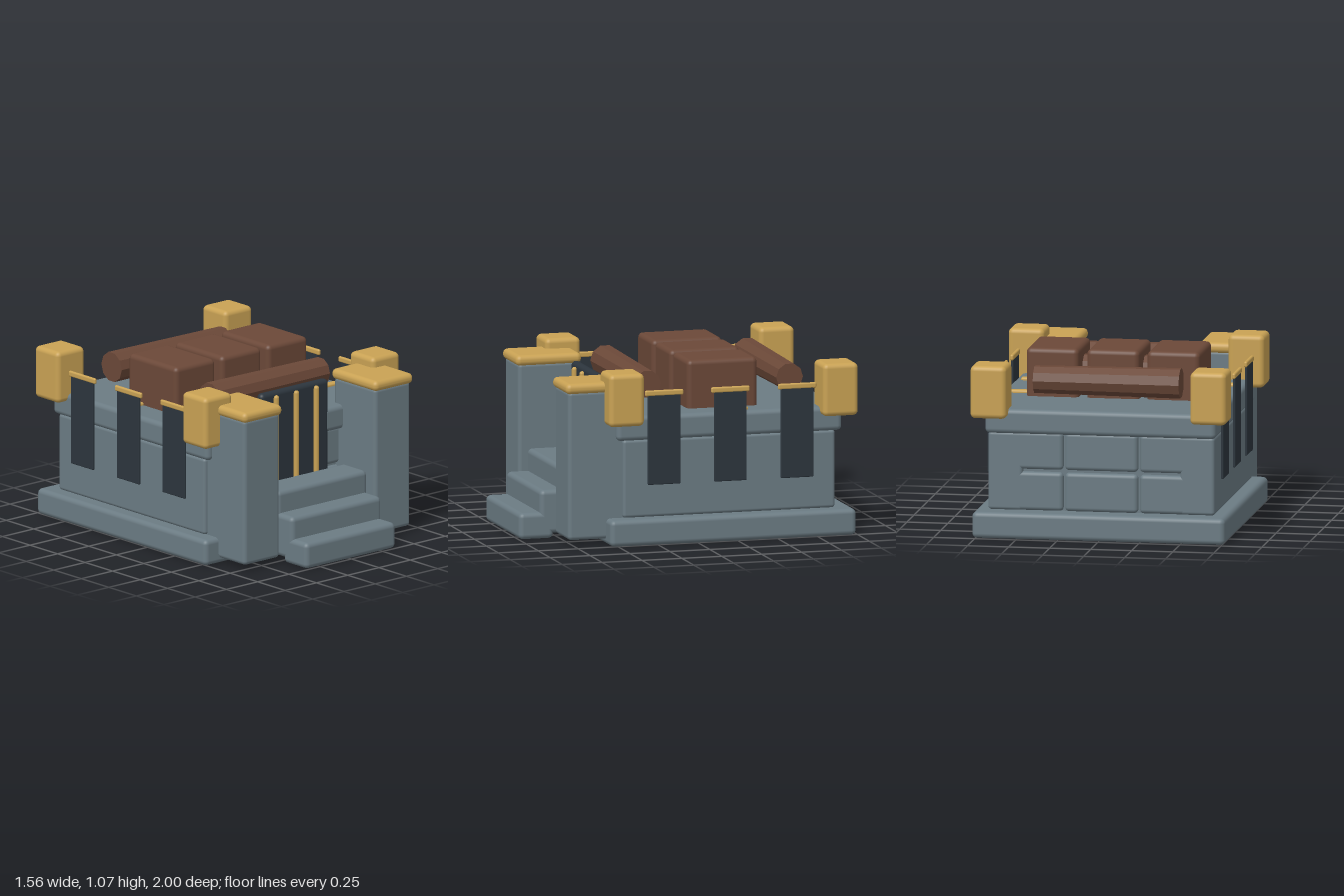
import * as THREE from 'three';
import { RoundedBoxGeometry } from 'three/addons/geometries/RoundedBoxGeometry.js';

export function createModel() {
  const model = new THREE.Group();
  model.name = 'stoneHall';

  const material = (name, color, flatShading = false) => {
    const m = new THREE.MeshStandardMaterial({ color, flatShading });
    m.name = name;
    return m;
  };
  const stone = material('stone', 0x6b7b83);
  const gold = material('gold', 0xc9a254);
  const iron = material('darkIron', 0x2c353d);
  const wood = material('wood', 0x6b4838);
  wood.flatShading = false;

  const add = (name, geometry, mat) => {
    const mesh = new THREE.Mesh(geometry, mat);
    mesh.name = name;
    model.add(mesh);
    return mesh;
  };
  // Rounded block given by its limits on each axis
  const block = (name, mat, [x0, x1], [y0, y1], [z0, z1], r = 0.025) => {
    const g = new RoundedBoxGeometry(x1 - x0, y1 - y0, z1 - z0, 3, r);
    g.translate((x0 + x1) / 2, (y0 + y1) / 2, (z0 + z1) / 2);
    return add(name, g, mat);
  };
  // The same limits on both sides of the model
  const pair = (name, mat, [x0, x1], y, z, r) => {
    block(name + 'Left', mat, [x0, x1], y, z, r);
    block(name + 'Right', mat, [-x1, -x0], y, z, r);
  };

  // Plinth, wall core and roof slab
  block('plinth', stone, [-0.77, 0.77], [0, 0.16], [-0.99, 0.55], 0.03);
  block('wallCore', stone, [-0.6, 0.6], [0.14, 0.65], [-0.85, 0.42], 0.01);
  block('roofSlab', stone, [-0.703, 0.703], [0.63, 0.78], [-0.92, 0.49], 0.03);
  pair('sideWall', stone, [0.48, 0.69], [0.16, 0.635], [-0.88, 0.45], 0.02);

  // Two courses of stones in the front and back walls
  for (const [side, z] of [['front', [0.3, 0.45]], ['back', [-0.88, -0.73]]]) {
    for (const y of [[0.16, 0.395], [0.41, 0.64]]) {
      for (const x of [-0.455, 0, 0.455]) {
        block(side + 'WallStone', stone, [x - 0.222, x + 0.222], y, z, 0.025);
      }
    }
  }

  // Entrance pillars with caps
  pair('entrancePillar', stone, [0.38, 0.665], [0.035, 0.94], [0.405, 0.785], 0.025);
  pair('pillarCap', gold, [0.368, 0.678], [0.925, 0.99], [0.39, 0.8], 0.03);

  // Steps
  block('lowerStep', stone, [-0.36, 0.36], [0, 0.16], [0.785, 1], 0.03);
  block('middleStep', stone, [-0.36, 0.36], [0.03, 0.295], [0.655, 0.87], 0.03);
  block('upperStep', stone, [-0.36, 0.36], [0.06, 0.43], [0.525, 0.74], 0.03);

  // Door with upright bars
  block('door', iron, [-0.27, 0.27], [0.2, 0.965], [0.435, 0.492], 0.026);
  for (const x of [-0.16, 0, 0.16]) {
    const bar = add('doorBar', new THREE.CapsuleGeometry(0.017, 0.7, 4, 10), gold);
    bar.position.set(x, 0.578, 0.5);
  }

  // Corner blocks
  pair('frontCornerBlock', gold, [0.56, 0.78], [0.73, 1.05], [0.34, 0.56], 0.03);
  pair('backCornerBlock', gold, [0.56, 0.78], [0.73, 1.05], [-1, -0.78], 0.03);

  // Side banners hanging from rods
  for (const z of [0.2, -0.215, -0.633]) {
    pair('banner', iron, [0.704, 0.72], [0.36, 0.915], [z - 0.102, z + 0.102], 0.006);
    pair('bannerRod', gold, [0.701, 0.723], [0.9, 0.935], [z - 0.12, z + 0.12], 0.01);
  }

  // Inlaid strips on the roof
  for (const z of [-0.32, 0.12]) {
    pair('roofStrip', gold, [0.355, 0.66], [0.765, 0.797], [z - 0.025, z + 0.025], 0.012);
  }

  // Crates
  for (const x of [-0.362, 0.006, 0.375]) {
    block('crate', wood, [x - 0.16, x + 0.16], [0.74, 1.073], [-0.44, 0], 0.03);
  }

  // Tapered, faceted logs
  for (const z of [0.222, -0.22, -0.668]) {
    const g = new THREE.CylinderGeometry(0.093, 0.084, 0.89, 10).toNonIndexed();
    g.computeVertexNormals();
    g.rotateZ(Math.PI / 2);
    add('log', g, wood).position.set(-0.005, 0.925, z);
  }

  return model;
}
